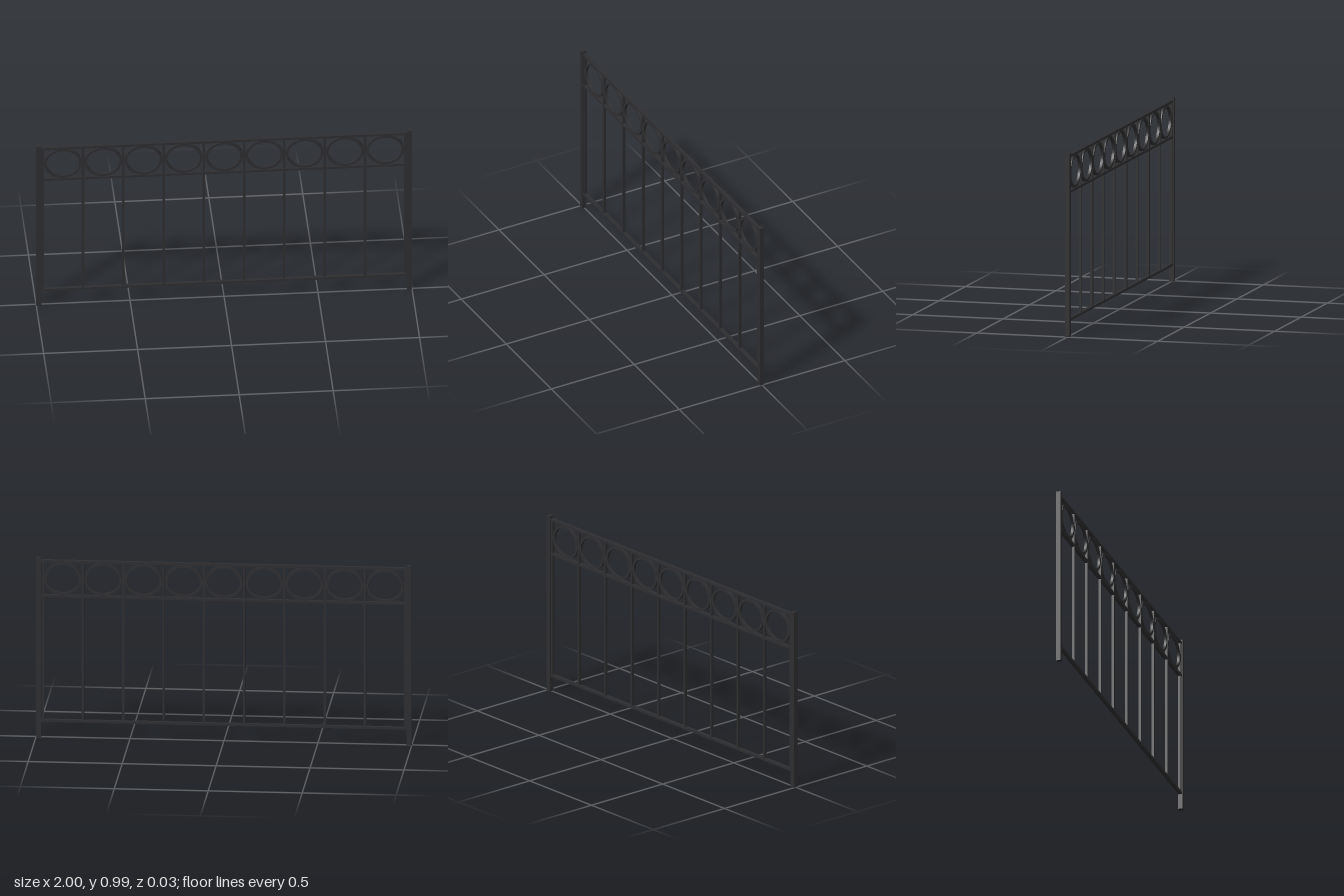
import * as THREE from 'three';

export function createModel() {
  const group = new THREE.Group();
  group.name = 'railingPanel';
  const iron = new THREE.MeshStandardMaterial({ color: 0x2e2e30 });

  const add = (name, geometry, x, y) => {
    const mesh = new THREE.Mesh(geometry, iron);
    mesh.name = name;
    mesh.position.set(x, y, 0);
    group.add(mesh);
  };
  const bar = (name, w, h, d, x, y) => add(name, new THREE.BoxGeometry(w, h, d), x, y);

  const bays = 9, pitch = 0.2143, thick = 0.013;
  const bottomY = 0.091, middleY = 0.777, topY = 0.968;
  const half = bays * pitch / 2;

  // End posts
  for (const side of [-1, 1]) {
    bar(side > 0 ? 'leftPost' : 'rightPost', 0.027, 0.987, 0.026, side * 0.9865, 0.4935);
  }

  // Horizontal rails between the posts
  const rails = { bottomRail: bottomY, middleRail: middleY, topRail: topY };
  for (const [name, y] of Object.entries(rails)) bar(name, 1.95, thick, 0.02, 0, y);

  // Upright bars, including one against each post
  for (let i = 0; i <= bays; i++) {
    bar('baluster', thick, topY - bottomY, 0.014, -half + i * pitch, (topY + bottomY) / 2);
  }

  // Oval rings filling the band between the upper rails
  const rx = 0.1, ry = 0.089, depth = 0.014;
  const oval = new THREE.Shape().absellipse(0, 0, rx, ry, 0, Math.PI * 2);
  oval.holes.push(new THREE.Path().absellipse(0, 0, rx - thick, ry - thick, 0, Math.PI * 2, true));
  const ring = new THREE.ExtrudeGeometry(oval, { depth, bevelEnabled: false, curveSegments: 32 });
  ring.translate(0, 0, -depth / 2);
  for (let i = 0; i < bays; i++) {
    add('ovalRing', ring, -half + (i + 0.5) * pitch, (topY + middleY) / 2);
  }

  return group;
}
